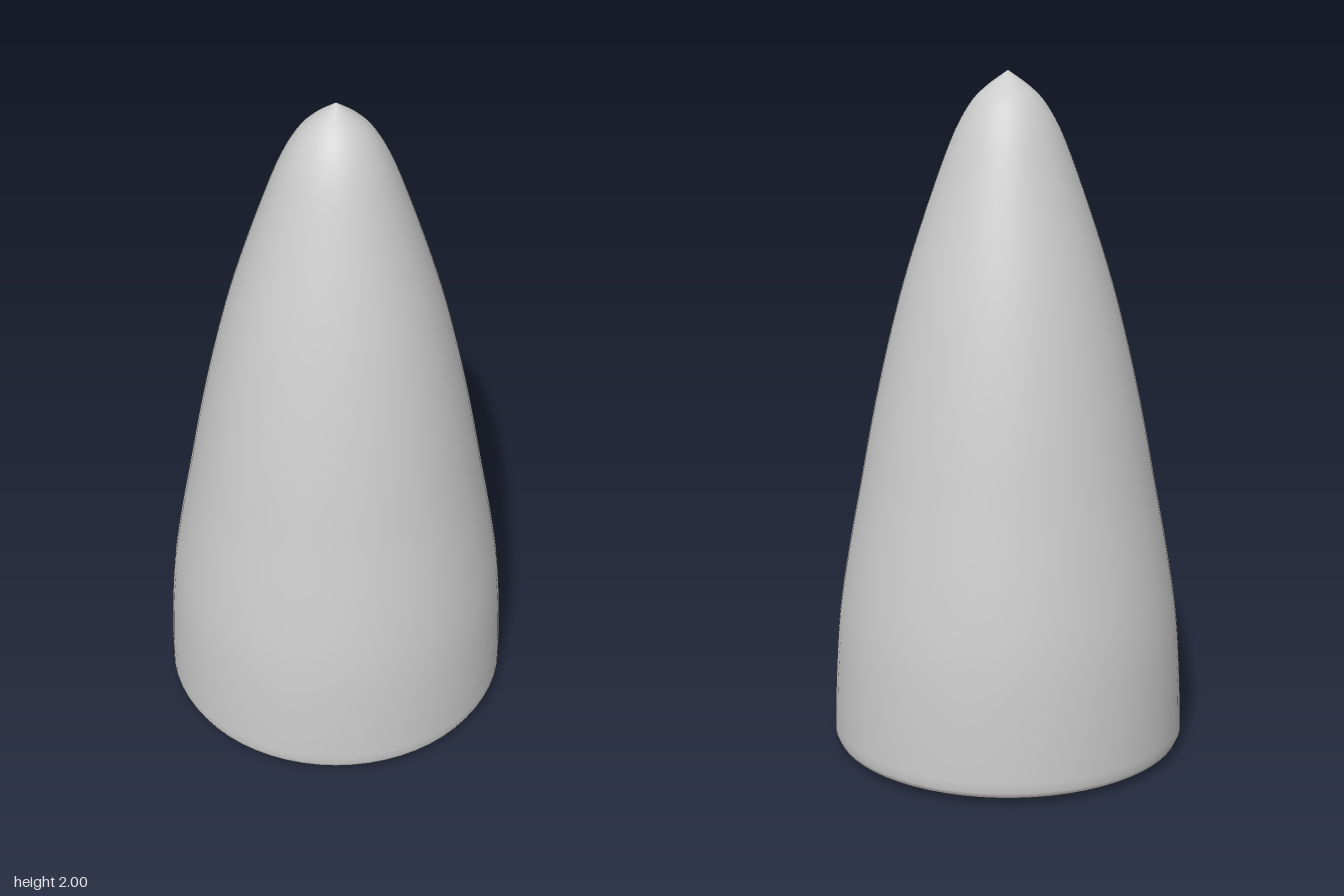
import * as THREE from 'three';

export function createModel() {
  const group = new THREE.Group();
  const material = new THREE.MeshStandardMaterial({ color: 0xcccccc });

  // Side profile as [radius, height], from the rim up to the pointed tip
  const side = [
    [0.525, 0.04], [0.52, 0.2], [0.505, 0.4], [0.474, 0.6], [0.436, 0.8], [0.398, 1.0],
    [0.354, 1.2], [0.302, 1.4], [0.238, 1.6], [0.165, 1.8], [0.113, 1.9], [0.065, 1.953], [0, 2],
  ].map(([r, y]) => new THREE.Vector2(r, y));
  const sidePoints = new THREE.SplineCurve(side).getPoints(48);
  sidePoints[sidePoints.length - 1].set(0, 2);

  // Slightly domed underside with a small rounded rim
  const base = [[0, 0], [0.25, 0.004], [0.45, 0.012], [0.505, 0.017], [0.518, 0.024]]
    .map(([r, y]) => new THREE.Vector2(r, y));

  const body = new THREE.Mesh(new THREE.LatheGeometry([...base, ...sidePoints], 64), material);
  body.name = 'taperedBody';
  group.add(body);
  return group;
}
